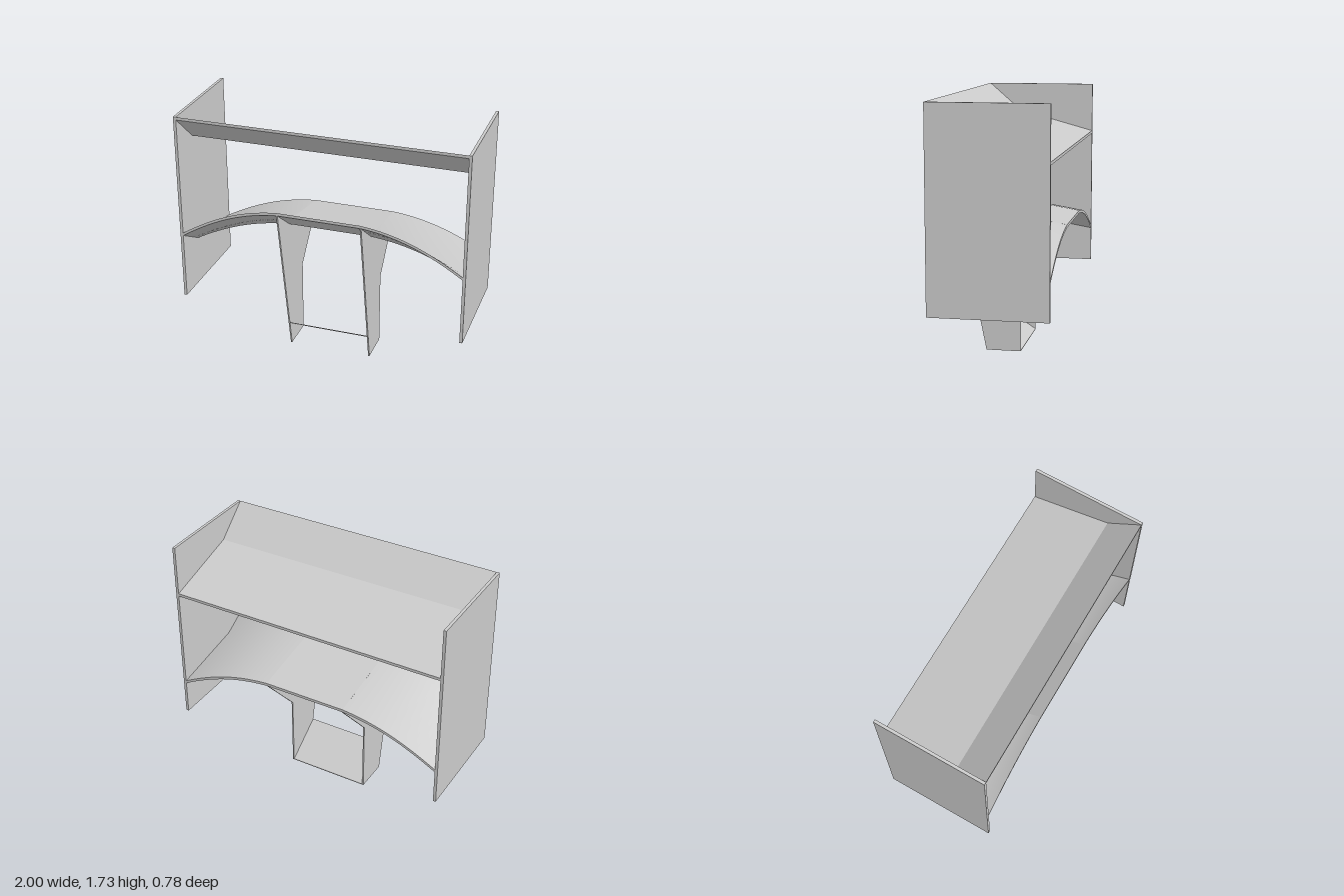
import * as THREE from 'three';

const material = new THREE.MeshStandardMaterial({ color: 0xcccccc, side: THREE.DoubleSide });

// Extrudes a [z, y] outline across x, from x0 to x1.
function slab(name, outline, x0, x1) {
  const shape = new THREE.Shape(outline.map(([z, y]) => new THREE.Vector2(z, y)));
  const geometry = new THREE.ExtrudeGeometry(shape, { depth: x1 - x0, bevelEnabled: false });
  geometry.rotateY(-Math.PI / 2).translate(x1, 0, 0);
  const mesh = new THREE.Mesh(geometry, material);
  mesh.name = name;
  return mesh;
}

// Lower wing section: outline runs over the top, down the rear, under, and up the front.
// Third value is how far that point has dropped at the wing tip.
const section = [
  [0.39, 1.14, 0.26], [0.16, 0.97, 0.22], [-0.39, 0.88, 0.225],
  [-0.39, 0.86, 0.225], [0.16, 0.95, 0.22], [0.39, 1.12, 0.26],
];
// Faces of the section, kept separate so the edges stay sharp.
const strips = [[0, 1, 2], [2, 3], [3, 4, 5], [5, 0]];

// Drooping outer panel, following a curve of x against relative drop.
function outerPanel(side) {
  const droop = new THREE.CubicBezierCurve(
    new THREE.Vector2(0.29, 0), new THREE.Vector2(0.52, 0.08),
    new THREE.Vector2(0.72, 0.35), new THREE.Vector2(0.98, 1));
  const path = droop.getPoints(20);
  if (side < 0) path.reverse();
  const positions = [], index = [];
  for (const strip of strips) {
    const n = strip.length, start = positions.length / 3;
    path.forEach((p, i) => {
      strip.forEach((k, j) => {
        const [z, y, drop] = section[k];
        positions.push(side * p.x, y - drop * p.y, z);
        if (i + 1 < path.length && j + 1 < n) {
          const a = start + i * n + j;
          index.push(a, a + n, a + 1, a + 1, a + n, a + n + 1);
        }
      });
    });
  }
  const geometry = new THREE.BufferGeometry();
  geometry.setAttribute('position', new THREE.Float32BufferAttribute(positions, 3));
  geometry.setIndex(index);
  geometry.computeVertexNormals();
  const mesh = new THREE.Mesh(geometry, material);
  mesh.name = side > 0 ? 'leftOuterPanel' : 'rightOuterPanel';
  return mesh;
}

export function createModel() {
  const group = new THREE.Group();
  group.name = 'wingAssembly';

  // Upper wing: bent plate between the end plates
  group.add(slab('upperWing', [
    [0.39, 1.73], [0.16, 1.53], [-0.39, 1.38], [-0.39, 1.36], [0.16, 1.51], [0.39, 1.71],
  ], -0.98, 0.98));

  // Lower wing: flat centre
  group.add(slab('lowerWingCentre', section.map(([z, y]) => [z, y]), -0.29, 0.29));

  // Foot plate joining the struts
  group.add(slab('footPlate', [
    [-0.08, 0], [-0.08, 0.005], [0.197, 0.19], [0.197, 0.185],
  ], -0.285, 0.285));

  for (const side of [1, -1]) {
    const prefix = side > 0 ? 'left' : 'right';
    group.add(outerPanel(side));

    // End plate
    const plate = new THREE.Mesh(new THREE.BoxGeometry(0.02, 1.34, 0.78), material);
    plate.position.set(side * 0.99, 1.06, 0);
    plate.name = prefix + 'EndPlate';
    group.add(plate);

    // Strut, tapering down from the lower wing
    group.add(slab(prefix + 'Strut', [
      [0.157, 0], [0.39, 1.14], [0.16, 0.97], [-0.39, 0.88], [-0.39, 0.86], [-0.08, 0.52], [-0.08, 0],
    ], side * 0.29 - 0.005, side * 0.29 + 0.005));
  }
  return group;
}
